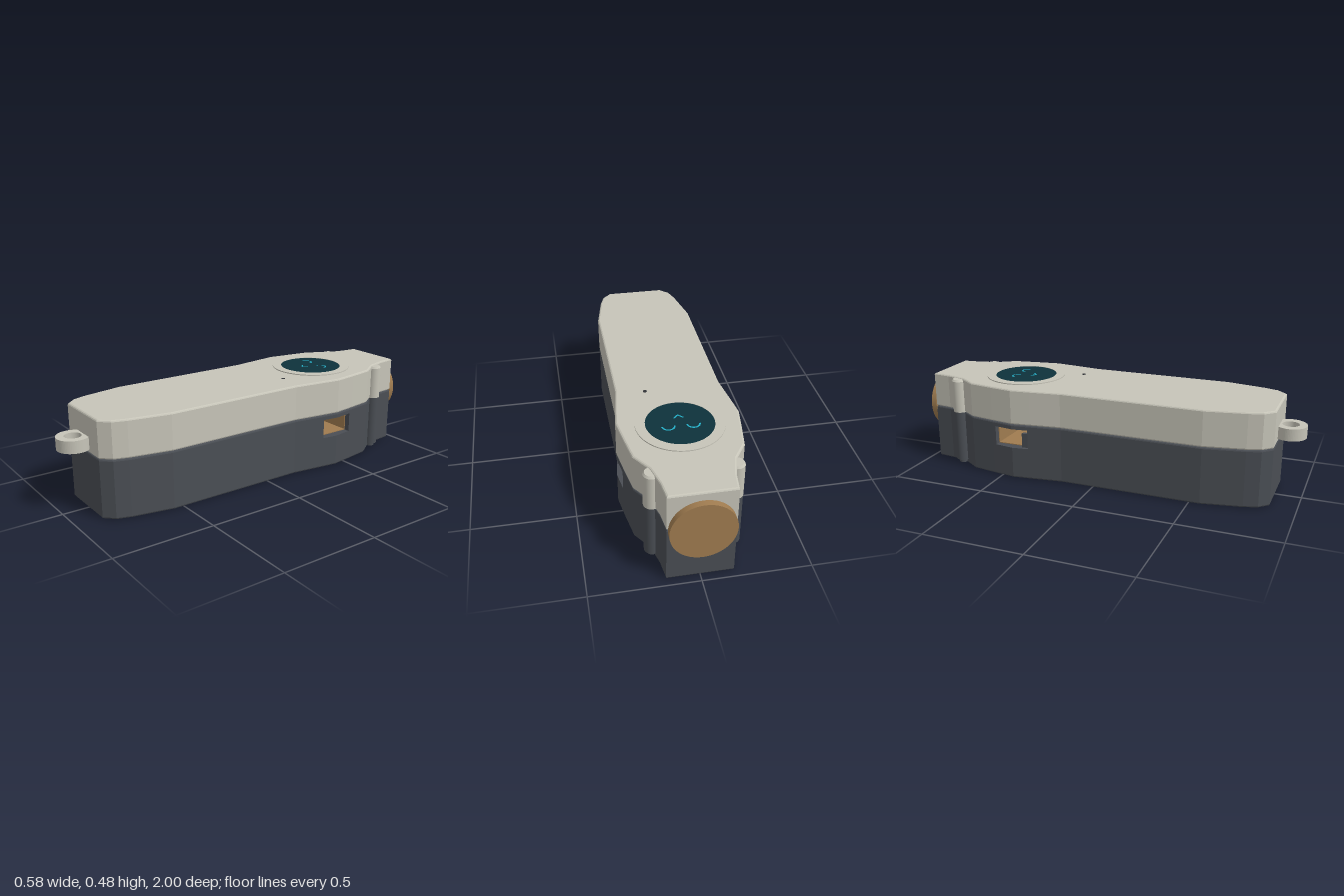
import * as THREE from 'three';

const mat = (name, color, extra = {}) => {
  const m = new THREE.MeshStandardMaterial({ color, ...extra });
  m.name = name;
  return m;
};

// half width of the body along z, from back to front
const PROFILE = [
  [-0.963, 0.152], [-0.87, 0.163], [-0.77, 0.19], [-0.68, 0.25], [-0.55, 0.272],
  [-0.43, 0.29], [-0.33, 0.278], [-0.17, 0.257], [0.555, 0.257], [0.757, 0.219],
  [0.825, 0.197], [0.872, 0.152],
];

function halfWidth(z) {
  for (let i = 1; i < PROFILE.length; i++) {
    const [z0, w0] = PROFILE[i - 1], [z1, w1] = PROFILE[i];
    if (z <= z1) return w0 + (w1 - w0) * (z - z0) / (z1 - z0);
  }
  return PROFILE[PROFILE.length - 1][1];
}

// closed plan outline between two z positions
function outline(zMin = -0.963, zMax = 0.872) {
  const zs = [zMin, ...PROFILE.map(p => p[0]).filter(z => z > zMin && z < zMax), zMax];
  const side = zs.map(z => [halfWidth(z), z]);
  return [...side, ...side.slice().reverse().map(([x, z]) => [-x, z])];
}

// moves an outline inward by d with mitred corners
function inset(pts, d) {
  const n = pts.length;
  const normal = (a, b) => new THREE.Vector2(b[1] - a[1], a[0] - b[0]).normalize();
  return pts.map((p, i) => {
    const n0 = normal(pts[(i + n - 1) % n], p), n1 = normal(p, pts[(i + 1) % n]);
    const k = d / (1 + n0.dot(n1));
    return [p[0] - (n0.x + n1.x) * k, p[1] - (n0.y + n1.y) * k];
  });
}

// flat-sided solid from an outline and [inset, y] levels
function loft(pts, levels) {
  const rings = levels.map(([d, y]) => inset(pts, d).map(([x, z]) => new THREE.Vector3(x, y, z)));
  const out = [];
  const tri = (...vs) => vs.forEach(v => out.push(v.x, v.y, v.z));
  const n = pts.length;
  for (let r = 0; r + 1 < rings.length; r++) {
    const a = rings[r], b = rings[r + 1];
    for (let i = 0; i < n; i++) {
      const j = (i + 1) % n;
      tri(a[i], b[i], b[j]);
      tri(a[i], b[j], a[j]);
    }
  }
  const cap = (ring, up) => {
    const flat = ring.map(v => new THREE.Vector2(v.x, v.z));
    for (const [i, j, k] of THREE.ShapeUtils.triangulateShape(flat, [])) {
      const a = ring[i], b = ring[j], c = ring[k];
      const ny = (b.z - a.z) * (c.x - a.x) - (b.x - a.x) * (c.z - a.z);
      if ((ny > 0) === up) tri(a, b, c); else tri(a, c, b);
    }
  };
  cap(rings[0], false);
  cap(rings[rings.length - 1], true);
  const g = new THREE.BufferGeometry();
  g.setAttribute('position', new THREE.Float32BufferAttribute(out, 3));
  g.computeVertexNormals();
  return g;
}

// square-edged ring standing on y0
function ring(rIn, rOut, y0, y1) {
  const s = new THREE.Shape().absarc(0, 0, rOut, 0, Math.PI * 2, false);
  s.holes.push(new THREE.Path().absarc(0, 0, rIn, 0, Math.PI * 2, true));
  const g = new THREE.ExtrudeGeometry(s, { depth: y1 - y0, bevelEnabled: false, curveSegments: 32 });
  return g.rotateX(-Math.PI / 2).translate(0, y0, 0);
}

export function createModel() {
  const light = mat('warm grey', 0xc6c4b8);
  const dark = mat('charcoal', 0x4a4e54);
  const tan = mat('bronze', 0xa07c50);
  const glass = mat('dark teal', 0x0e323b);
  const glow = mat('cyan', 0x22aec6);
  const black = mat('hole black', 0x303236);

  const group = new THREE.Group();
  const add = (name, geo, material, x = 0, y = 0, z = 0) => {
    const m = new THREE.Mesh(geo, material);
    m.name = name;
    m.position.set(x, y, z);
    group.add(m);
    return m;
  };
  const box = (w, h, d) => new THREE.BoxGeometry(w, h, d);
  const cyl = (r0, r1, h, seg = 24) => new THREE.CylinderGeometry(r0, r1, h, seg);

  // upper shell
  add('upperShell', loft(outline(), [
    [0.008, 0.291], [0.002, 0.294], [0, 0.299], [0, 0.467], [0.003, 0.472], [0.009, 0.475],
  ]), light);

  // lower shell, with a side window running through its middle band
  const zBack = -0.53, zFront = -0.345, yLow = 0.165, yHigh = 0.265;
  add('lowerShellBase', loft(outline(), [[0.009, 0], [0.003, 0.003], [0, 0.009], [0, yLow]]), dark);
  add('lowerShellFront', loft(outline(zFront, 0.872), [[0, yLow], [0, yHigh]]), dark);
  add('lowerShellBack', loft(outline(-0.963, zBack), [[0, yLow], [0, yHigh]]), dark);
  add('lowerShellRim', loft(outline(), [[0, yHigh], [0, 0.283], [0.002, 0.288], [0.008, 0.291]]), dark);

  // circuit boards lining the window
  const zMid = (zBack + zFront) / 2, zLen = zFront - zBack;
  for (const y of [yLow + 0.002, yHigh - 0.002]) add('innerBoard', box(0.49, 0.004, zLen), tan, 0, y, zMid);
  for (const z of [zBack + 0.002, zFront - 0.002]) add('innerWall', box(0.49, 0.096, 0.004), tan, 0, 0.215, z);
  add('windowTab', box(0.02, 0.075, 0.04), dark, -0.255, 0.2025, zFront - 0.02);

  // round cap on the back end
  add('endCapCollar', cyl(0.13, 0.13, 0.012, 40).rotateX(Math.PI / 2), dark, 0, 0.293, -0.966);
  add('endCap', cyl(0.147, 0.147, 0.03, 48).rotateX(Math.PI / 2), tan, 0, 0.293, -0.985);

  // strap loop on the front end
  add('strapLoop', ring(0.04, 0.078, 0.31, 0.37), light, 0, 0, 0.922);

  // side posts
  for (const s of [-1, 1]) {
    const x = s * 0.185, z = -0.79;
    add('postUpper', cyl(0.038, 0.038, 0.168), light, x, 0.375, z);
    add('postUpperTip', cyl(0.031, 0.038, 0.01), light, x, 0.464, z);
    add('postLower', cyl(0.037, 0.037, 0.27), dark, x, 0.156, z);
    add('postPin', cyl(0.024, 0.024, 0.02), dark, x, 0.014, z);
  }

  // round screen with a smiling face
  const zs = -0.485;
  add('screenBezel', ring(0.16, 0.207, 0.474, 0.48), light, 0, 0, zs);
  add('screen', cyl(0.161, 0.161, 0.005, 48), glass, 0, 0.476, zs);
  for (const s of [-1, 1]) {
    const eye = new THREE.RingGeometry(0.025, 0.033, 20, 1, 0, Math.PI).rotateX(-Math.PI / 2);
    add('eye', eye, glow, s * 0.058, 0.481, -0.505);
    const lip = add('mouth', box(0.032, 0.002, 0.006), glow, s * 0.011, 0.4795, -0.437);
    lip.rotation.y = s * Math.PI / 4;
  }

  // small pinhole on the top
  add('pinhole', cyl(0.01, 0.01, 0.002, 16), black, 0.115, 0.4755, -0.2);

  // screw holes underneath
  const screws = [
    [0.125, 0.79], [-0.125, 0.79], [0.185, 0.155], [-0.185, 0.155],
    [0.185, -0.19], [-0.185, -0.19], [0.185, -0.47], [0.185, -0.68],
  ];
  screws.forEach(([x, z]) => add('screwHole', cyl(0.016, 0.016, 0.002, 16), black, x, 0.0005, z));

  return group;
}
